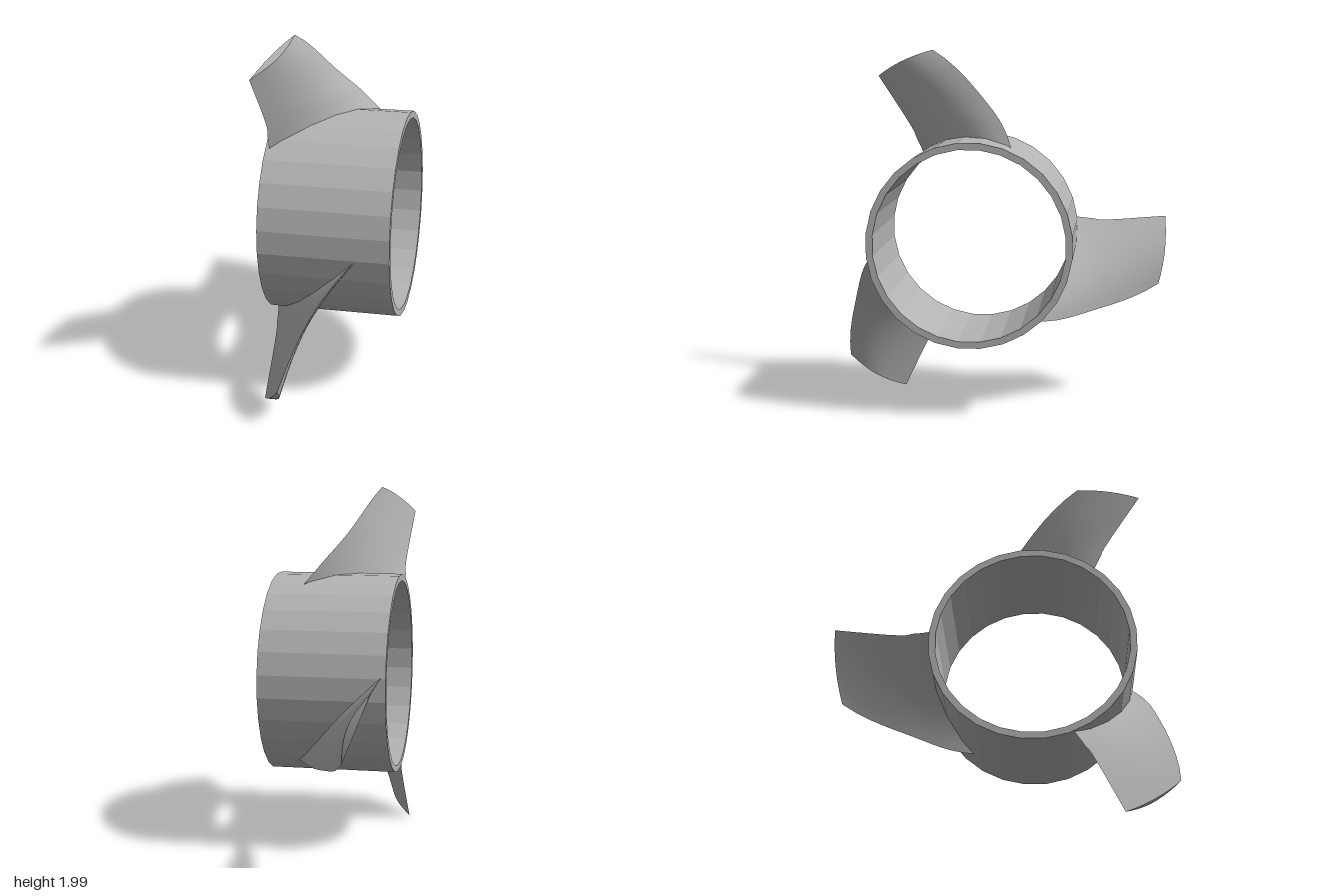
import * as THREE from 'three';
import { toCreasedNormals } from 'three/addons/utils/BufferGeometryUtils.js';

const AXIS_Y = 0.968, AXIS_Z = 0.147;

// Blade edges as (radius, angle in degrees, x), from hub to tip
const edge = (pts) => new THREE.CatmullRomCurve3(pts.map((p) => new THREE.Vector3(...p)));
const leadingEdge = edge([[0.535, 8.2, -0.33], [0.64, 6, -0.325], [0.8, 4.5, -0.327], [1.066, 4.4, -0.35]]);
const trailingEdge = edge([[0.535, -54.5, 0.185], [0.64, -45, 0.08], [0.8, -31, -0.06], [1.066, -15.7, -0.2]]);

// Twisted blade: lens-shaped sections wrapped around the x axis
function bladeGeometry(rows = 14, cols = 12) {
  const pos = [], index = [], n = cols * 2;
  for (let j = 0; j <= rows; j++) {
    const t = j / rows;
    const a = leadingEdge.getPoint(t), b = trailingEdge.getPoint(t);
    const dx = b.x === undefined ? 0 : b.z - a.z;
    const ds = a.x * THREE.MathUtils.degToRad(a.y - b.y);
    const len = Math.hypot(dx, ds);
    for (let i = 0; i < n; i++) {
      const front = i <= cols;
      const s = front ? i / cols : (n - i) / cols;
      const bulge = Math.sin(Math.PI * s) *
        (front ? THREE.MathUtils.lerp(0.03, 0.043, t) : THREE.MathUtils.lerp(-0.025, 0.0, t));
      const r = THREE.MathUtils.lerp(a.x, b.x, s);
      const angle = THREE.MathUtils.degToRad(THREE.MathUtils.lerp(a.y, b.y, s)) + bulge * dx / len / r;
      const x = THREE.MathUtils.lerp(a.z, b.z, s) + bulge * ds / len;
      pos.push(x, r * Math.sin(angle), -r * Math.cos(angle));
    }
  }
  for (let j = 0; j < rows; j++) {
    for (let i = 0; i < n; i++) {
      const k = (i + 1) % n, p = j * n, q = p + n;
      index.push(p + i, p + k, q + k, p + i, q + k, q + i);
    }
  }
  // Tip cap, stitched between the two faces
  const p = rows * n;
  for (let i = 0; i < cols; i++) {
    const i2 = (n - i) % n, k2 = n - i - 1;
    if (i > 0) index.push(p + i, p + i + 1, p + i2);
    if (i < cols - 1) index.push(p + i + 1, p + k2, p + i2);
  }
  const g = new THREE.BufferGeometry();
  g.setAttribute('position', new THREE.Float32BufferAttribute(pos, 3));
  g.setIndex(index);
  return toCreasedNormals(g, 0.6);
}

export function createModel() {
  const model = new THREE.Group();
  model.name = 'ringPropeller';
  const grey = new THREE.MeshStandardMaterial({ color: 0xb4b4b4 });
  grey.name = 'grey';

  const rotor = new THREE.Group();
  rotor.name = 'rotor';
  rotor.position.set(0, AXIS_Y, AXIS_Z);
  model.add(rotor);

  // Faceted open hub ring
  const sides = 28, inner = 0.523, outer = 0.56, half = 0.348;
  const profile = [[inner, -half], [outer, -half], [outer, half], [inner, half], [inner, -half]]
    .map(([r, y]) => new THREE.Vector2(r, y));
  const ringGeometry = toCreasedNormals(new THREE.LatheGeometry(profile, sides, Math.PI / sides), 0.05);
  ringGeometry.rotateZ(-Math.PI / 2);
  const ring = new THREE.Mesh(ringGeometry, grey);
  ring.name = 'hubRing';
  rotor.add(ring);

  // Three blades evenly spaced around the hub
  const geometry = bladeGeometry();
  for (let i = 0; i < 3; i++) {
    const blade = new THREE.Mesh(geometry, grey);
    blade.name = 'blade' + (i + 1);
    blade.rotation.x = (i * Math.PI * 2) / 3;
    rotor.add(blade);
  }
  return model;
}
